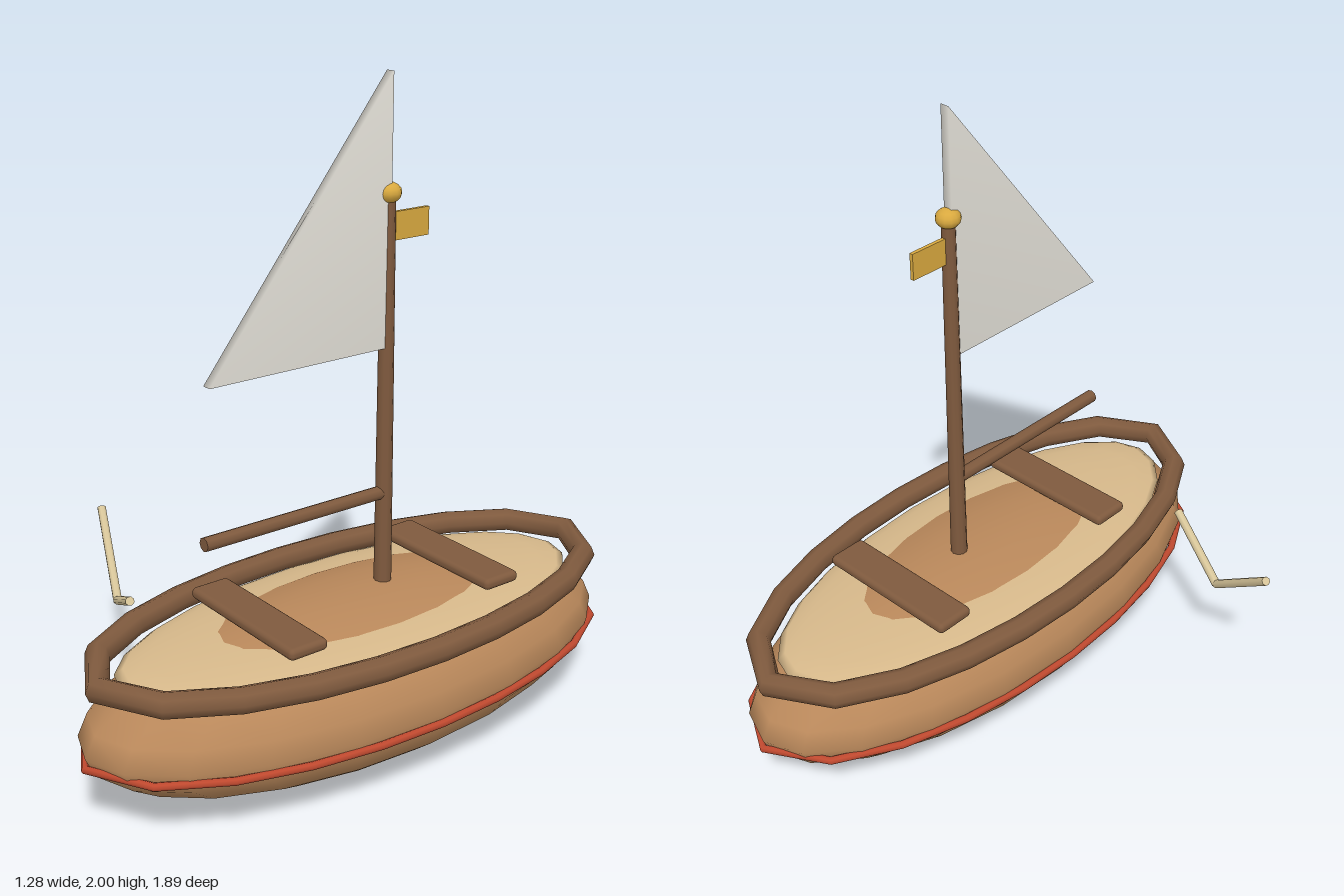
import * as THREE from 'three';
import { mergeVertices } from 'three/addons/utils/BufferGeometryUtils.js';
import { RoundedBoxGeometry } from 'three/addons/geometries/RoundedBoxGeometry.js';

const material = (name, color) => {
  const m = new THREE.MeshStandardMaterial({ color });
  m.name = name;
  return m;
};

export function createModel() {
  const hullWood = material('hull wood', 0xb8875a);
  const deckWood = material('deck wood', 0xd6b88a);
  const darkWood = material('dark wood', 0x7f5a3e);
  const red = material('red stripe', 0xc0492f);
  const gold = material('gold', 0xd9a93f);
  const cloth = material('sail cloth', 0xeeebe2);
  const paleWood = material('pale wood', 0xd8c69a);

  const model = new THREE.Group();
  model.name = 'sailboat';
  const boat = new THREE.Group();
  boat.name = 'boat';
  boat.position.x = 0.22;
  model.add(boat);

  const add = (parent, name, geometry, mat, x = 0, y = 0, z = 0) => {
    const mesh = new THREE.Mesh(geometry, mat);
    mesh.name = name;
    mesh.position.set(x, y, z);
    parent.add(mesh);
    return mesh;
  };

  // Round bar between two points
  const bar = (parent, name, a, b, rA, rB, mat, sides = 10) => {
    const from = new THREE.Vector3(...a), to = new THREE.Vector3(...b);
    const dir = to.clone().sub(from);
    const mesh = add(parent, name, new THREE.CylinderGeometry(rB, rA, dir.length(), sides), mat);
    mesh.position.copy(from).add(to).multiplyScalar(0.5);
    mesh.quaternion.setFromUnitVectors(new THREE.Vector3(0, 1, 0), dir.normalize());
    return mesh;
  };

  // Flat elliptical ring of round section
  const ring = (rx, rz, tube) => {
    const n = 20, pts = [];
    for (let i = 0; i < n; i++) {
      const t = (i / n) * Math.PI * 2;
      pts.push(new THREE.Vector3(Math.sin(t) * rx, 0, Math.cos(t) * rz));
    }
    const path = new THREE.CurvePath();
    pts.forEach((p, i) => path.add(new THREE.LineCurve3(p, pts[(i + 1) % n])));
    // Smooth loop through the ellipse points
    const loop = new THREE.CatmullRomCurve3(pts, true);
    return new THREE.TubeGeometry(loop, n, tube, 8, true);
  };

  // Hull and domed deck
  const hull = new THREE.SphereGeometry(1, 20, 12).scale(0.4, 0.245, 0.93);
  add(boat, 'hull', hull, hullWood, 0, 0.25, 0);
  const deck = new THREE.SphereGeometry(1, 24, 12).scale(0.34, 0.05, 0.81);
  add(boat, 'deck', deck, deckWood, 0, 0.42, 0);

  // Rail and waterline
  add(boat, 'rail', ring(0.378, 0.882, 0.038), darkWood, 0, 0.447, 0);
  add(boat, 'waterline', ring(0.4, 0.932, 0.012), red, 0, 0.222, 0);

  // Benches
  for (const [name, z] of [['frontBench', 0.36], ['backBench', -0.36]]) {
    add(boat, name, new RoundedBoxGeometry(0.5, 0.036, 0.13, 2, 0.016), darkWood, 0, 0.502, z);
  }

  // Mast, boom, finial and flag
  bar(boat, 'mast', [0, 0.44, -0.1], [0, 1.66, -0.1], 0.027, 0.021, darkWood);
  bar(boat, 'boom', [0, 0.775, -0.1], [0, 0.775, 0.535], 0.021, 0.021, darkWood, 8);
  add(boat, 'finial', new THREE.SphereGeometry(0.038, 12, 8).scale(1, 0.8, 1), gold, 0, 1.667, -0.1);
  add(boat, 'flag', new THREE.BoxGeometry(0.012, 0.082, 0.135), gold, 0, 1.57, -0.178);

  // Triangular sail with softened normals
  const outline = new THREE.Shape([
    new THREE.Vector2(0.1, 1.222), new THREE.Vector2(0.1, 2), new THREE.Vector2(-0.515, 1.222),
  ]);
  let sail = new THREE.ExtrudeGeometry(outline, { depth: 0.03, bevelEnabled: false });
  sail.translate(0, 0, -0.015).rotateY(Math.PI / 2);
  sail.deleteAttribute('normal');
  sail.deleteAttribute('uv');
  sail = mergeVertices(sail);
  sail.computeVertexNormals();
  add(boat, 'sail', sail, cloth);

  // Bent pole beside the boat
  const pole = new THREE.Group();
  pole.name = 'bentPole';
  model.add(pole);
  const elbow = [-0.39, 0.347, 0.466];
  bar(pole, 'upperPole', elbow, [-0.635, 0.555, 0.372], 0.014, 0.014, paleWood, 8);
  bar(pole, 'lowerPole', elbow, [-0.15, 0.467, 0.56], 0.014, 0.014, paleWood, 8);

  return model;
}
